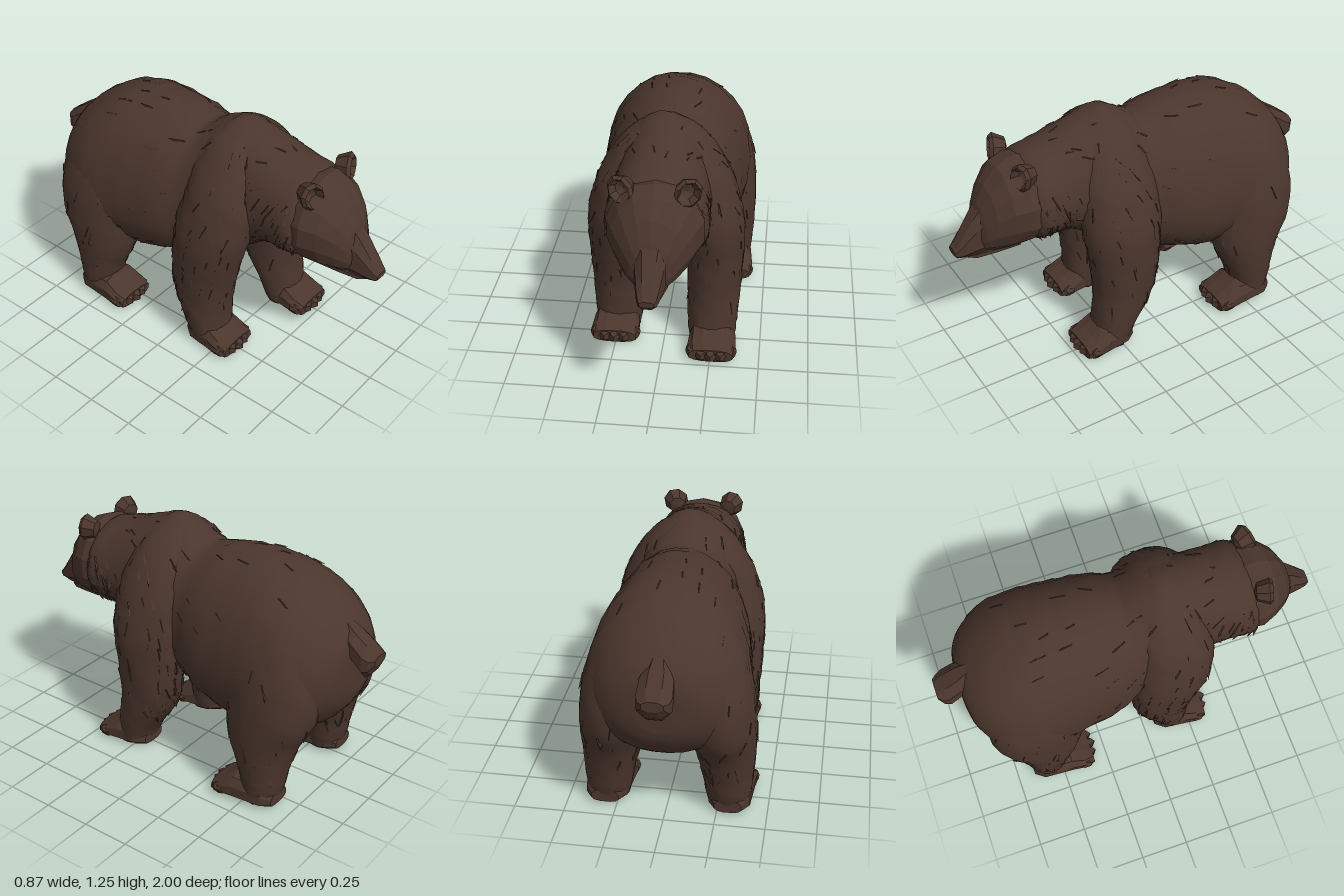
import * as THREE from 'three';
import { mergeGeometries } from 'three/addons/utils/BufferGeometryUtils.js';

// Small seeded generator for fur variation
let seed = 7;
const rand = () => {
  seed = (seed * 16807) % 2147483647;
  return seed / 2147483647;
};

// Ring shapes. alongZ: [z, top, bottom, halfWidth, widestY, centreX]; alongY: [y, centreX, halfWidth, centreZ, halfDepth]
const alongZ = ([z, top, bot, hw, mid, cx = 0], c, s) => [cx + hw * c, mid + s * (s > 0 ? top - mid : mid - bot), z];
const alongY = ([y, cx, hw, cz, hd], c, s) => [cx + hw * c, y, cz - hd * s];

// Closed skin through cross-sections, eased between them when steps > 1
function loft(sections, ring, { sides = 20, steps = 4, square = 0.94, jitter = 0, flat = false } = {}) {
  const cr = (a, b, c, d, t) =>
    0.5 * (2 * b + (c - a) * t + (2 * a - 5 * b + 4 * c - d) * t * t + (3 * b - a - 3 * c + d) * t * t * t);
  const rows = [];
  const at = (i) => sections[Math.min(Math.max(i, 0), sections.length - 1)];
  for (let i = 0; i < sections.length - 1; i++) {
    for (let k = 0; k < steps; k++) {
      rows.push(at(i).map((_, n) => cr(at(i - 1)[n], at(i)[n], at(i + 1)[n], at(i + 2)[n], k / steps)));
    }
  }
  rows.push(at(sections.length));
  const pos = [], idx = [];
  const pow = (v) => Math.sign(v) * Math.abs(v) ** square;
  for (const row of rows) {
    for (let j = 0; j < sides; j++) {
      const a = ((j + 0.5) / sides) * Math.PI * 2;
      const k = 1 + (rand() - 0.5) * jitter;
      pos.push(...ring(row, pow(Math.cos(a)) * k, pow(Math.sin(a)) * k));
    }
  }
  for (let i = 0; i < rows.length - 1; i++) {
    for (let j = 0; j < sides; j++) {
      const a = i * sides + j, b = i * sides + ((j + 1) % sides);
      idx.push(a, b, a + sides, b, b + sides, a + sides);
    }
  }
  const start = rows.length * sides, last = start - sides;
  pos.push(...ring(rows[0], 0, 0), ...ring(rows[rows.length - 1], 0, 0));
  for (let j = 0; j < sides; j++) {
    const n = (j + 1) % sides;
    idx.push(start, n, j, start + 1, last + j, last + n);
  }
  let g = new THREE.BufferGeometry();
  g.setAttribute('position', new THREE.Float32BufferAttribute(pos, 3));
  g.setIndex(idx);
  if (flat) g = g.toNonIndexed();
  g.computeVertexNormals();
  return g;
}

// Pointed locks of fur lying along a skin
function tufts(skin, count, flow, keep) {
  const p = skin.attributes.position, n = skin.attributes.normal;
  const locks = [];
  const up = new THREE.Vector3(0, 1, 0);
  for (let tries = 0; locks.length < count && tries < count * 20; tries++) {
    const i = Math.floor(rand() * p.count);
    const at = new THREE.Vector3().fromBufferAttribute(p, i);
    if (!keep(at)) continue;
    const out = new THREE.Vector3().fromBufferAttribute(n, i);
    const dir = flow.clone().add(new THREE.Vector3(rand() - 0.5, rand() - 0.5, rand() - 0.5).multiplyScalar(0.5));
    dir.addScaledVector(out, -dir.dot(out));
    if (dir.length() < 0.2) continue;
    dir.normalize().addScaledVector(out, 0.2).normalize();
    const len = 0.04 + rand() * 0.05;
    const g = new THREE.ConeGeometry(0.016, len, 3).toNonIndexed();
    g.computeVertexNormals();
    g.applyQuaternion(new THREE.Quaternion().setFromUnitVectors(up, dir));
    at.addScaledVector(dir, len * 0.25).addScaledVector(out, -0.008);
    locks.push(g.translate(at.x, at.y, at.z));
  }
  return mergeGeometries(locks);
}

export function createModel() {
  seed = 7;
  const bear = new THREE.Group();
  bear.name = 'bear';
  const fur = new THREE.MeshStandardMaterial({ color: 0x4b362d });
  fur.name = 'brownFur';
  const add = (name, geometry, parent = bear) => {
    const m = new THREE.Mesh(geometry, fur);
    m.name = name;
    parent.add(m);
    return m;
  };
  const down = new THREE.Vector3(0, -1, -0.25), back = new THREE.Vector3(0, -0.4, -1);

  // Torso and neck
  const torso = loft([
    [-0.885, 0.83, 0.6, 0.1, 0.71],
    [-0.86, 0.905, 0.52, 0.215, 0.7],
    [-0.78, 1.01, 0.42, 0.32, 0.67],
    [-0.65, 1.11, 0.37, 0.39, 0.66],
    [-0.5, 1.17, 0.33, 0.4, 0.65],
    [-0.33, 1.19, 0.295, 0.38, 0.65],
    [-0.15, 1.175, 0.345, 0.355, 0.67],
    [-0.03, 1.15, 0.385, 0.31, 0.7],
    [0.06, 1.2, 0.42, 0.285, 0.73],
    [0.17, 1.25, 0.47, 0.265, 0.76],
    [0.28, 1.22, 0.55, 0.25, 0.82],
    [0.42, 1.17, 0.65, 0.24, 0.88],
    [0.53, 1.14, 0.67, 0.245, 0.87],
    [0.61, 1.115, 0.675, 0.24, 0.87],
    [0.67, 1.05, 0.7, 0.17, 0.87],
  ], alongZ, { sides: 28, square: 0.97, jitter: 0.02 });
  add('torso', torso);
  add('bodyFur', tufts(torso, 130, back, (p) => p.z > -0.7 && p.z < 0.5));
  add('neckRuff', tufts(torso, 100, down, (p) => p.z > 0.4 && p.z < 0.65 && p.y < 1.02));

  // Head: rounded skull, boxy muzzle, lower jaw
  const head = new THREE.Group();
  head.name = 'head';
  bear.add(head);
  add('skull', loft([
    [0.56, 1.1, 0.69, 0.22, 0.88],
    [0.66, 1.12, 0.67, 0.232, 0.88],
    [0.74, 1.09, 0.65, 0.198, 0.87],
    [0.81, 1.01, 0.65, 0.148, 0.83],
    [0.855, 0.92, 0.66, 0.1, 0.78],
    [0.88, 0.84, 0.68, 0.06, 0.75],
  ], alongZ, { sides: 14, steps: 1, square: 0.95, jitter: 0.03, flat: true }), head);
  add('muzzle', loft([
    [0.74, 0.99, 0.645, 0.1, 0.8],
    [0.835, 0.935, 0.645, 0.085, 0.77],
    [0.89, 0.865, 0.645, 0.07, 0.745],
    [0.95, 0.775, 0.648, 0.056, 0.71],
    [0.985, 0.722, 0.655, 0.045, 0.69],
    [1.0, 0.705, 0.675, 0.036, 0.69],
  ], alongZ, { sides: 8, steps: 1, square: 0.75, flat: true }), head);
  add('lowerJaw', loft([
    [0.68, 0.69, 0.655, 0.1, 0.67],
    [0.8, 0.68, 0.632, 0.075, 0.66],
    [0.89, 0.665, 0.616, 0.045, 0.645],
    [0.925, 0.655, 0.628, 0.025, 0.645],
  ], alongZ, { sides: 8, steps: 1, flat: true }), head);

  // Cupped ears
  const cup = [[0, -0.055], [0.042, -0.045], [0.063, 0.012], [0.05, 0.028], [0.032, -0.005], [0, -0.018]];
  const earShape = new THREE.LatheGeometry(cup.map(([x, y]) => new THREE.Vector2(x, y)), 8)
    .rotateX(Math.PI / 2).scale(1.05, 1.2, 1.1).toNonIndexed();
  earShape.computeVertexNormals();
  for (const side of [1, -1]) {
    const ear = add(side > 0 ? 'leftEar' : 'rightEar', earShape, head);
    ear.position.set(side * 0.15, 1.09, 0.672);
    ear.rotation.set(-0.1, side * 0.3, side * -0.5);
  }

  // Tail
  add('tail', loft([
    [-1.0, 0.835, 0.78, 0.055, 0.81],
    [-0.975, 0.855, 0.73, 0.08, 0.79],
    [-0.945, 0.88, 0.7, 0.09, 0.8],
    [-0.88, 0.925, 0.76, 0.085, 0.85],
    [-0.8, 0.98, 0.82, 0.045, 0.9],
  ], alongZ, { sides: 8, steps: 1, flat: true }));

  // Paw with five toes; z is the toe tip
  function paw(name, x, z, heel, width, parent) {
    add(name, loft([
      [z - heel, 0.08, 0.01, width * 0.55, 0.04, x],
      [z - heel + 0.05, 0.13, 0.002, width * 0.85, 0.045, x],
      [z - 0.16, 0.15, 0, width * 0.95, 0.04, x],
      [z - 0.09, 0.1, 0, width, 0.035, x],
      [z - 0.035, 0.07, 0, width * 0.88, 0.03, x],
    ], alongZ, { sides: 12, steps: 1, square: 0.75, jitter: 0.04, flat: true }), parent);
    for (let i = -2; i <= 2; i++) {
      const toe = add('toe', new THREE.DodecahedronGeometry(0.036), parent);
      toe.scale.set(0.9, 1, 1.3);
      toe.position.set(x + i * width * 0.39, 0.037, z - 0.046 - 0.009 * i * i);
    }
  }

  for (const side of [1, -1]) {
    const label = side > 0 ? 'left' : 'right';

    // Foreleg and shoulder; the right one is planted further back
    const stride = side > 0 ? 0 : -0.12;
    const fore = new THREE.Group();
    fore.name = label + 'Foreleg';
    bear.add(fore);
    const foreleg = loft([
      [0.02, 0.25, 0.115, 0.285, 0.095],
      [0.12, 0.25, 0.127, 0.255, 0.112],
      [0.3, 0.25, 0.138, 0.195, 0.16],
      [0.5, 0.25, 0.148, 0.185, 0.185],
      [0.7, 0.24, 0.155, 0.195, 0.205],
      [0.9, 0.185, 0.16, 0.19, 0.2],
      [1.05, 0.13, 0.137, 0.185, 0.17],
      [1.16, 0.08, 0.095, 0.18, 0.12],
      [1.22, 0.04, 0.04, 0.17, 0.05],
    ].map(([y, x, w, z, d]) => [y, side * x, w, z + stride * Math.max(0, 1 - y / 0.9), d]),
    alongY, { jitter: 0.05 });
    add('foreleg', foreleg, fore);
    add('forelegFur', tufts(foreleg, 130, down, (p) => p.y > 0.25 && p.y < 1.15), fore);
    add('elbowFur', tufts(foreleg, 45, down, (p) => p.y > 0.13 && p.y < 0.6 && p.z < 0.12), fore);
    paw('forepaw', side * 0.255, 0.5 + stride, 0.32, 0.128, fore);

    // Hind leg and thigh
    const hind = new THREE.Group();
    hind.name = label + 'HindLeg';
    bear.add(hind);
    const hindleg = loft([
      [0.02, 0.305, 0.105, -0.56, 0.09],
      [0.1, 0.3, 0.117, -0.565, 0.11],
      [0.2, 0.295, 0.13, -0.56, 0.135],
      [0.35, 0.28, 0.152, -0.55, 0.19],
      [0.5, 0.265, 0.165, -0.575, 0.24],
      [0.7, 0.24, 0.17, -0.575, 0.245],
      [0.9, 0.185, 0.155, -0.565, 0.2],
      [1.04, 0.13, 0.105, -0.54, 0.13],
      [1.09, 0.1, 0.05, -0.52, 0.06],
    ].map(([y, x, w, z, d]) => [y, side * x, w, z, d]), alongY, { square: 0.98, jitter: 0.025 });
    add('hindLeg', hindleg, hind);
    add('hindLegFur', tufts(hindleg, 50, down, (p) => p.y > 0.2 && p.y < 0.8), hind);
    paw('hindPaw', side * 0.308, -0.29, 0.37, 0.125, hind);
  }
  return bear;
}
